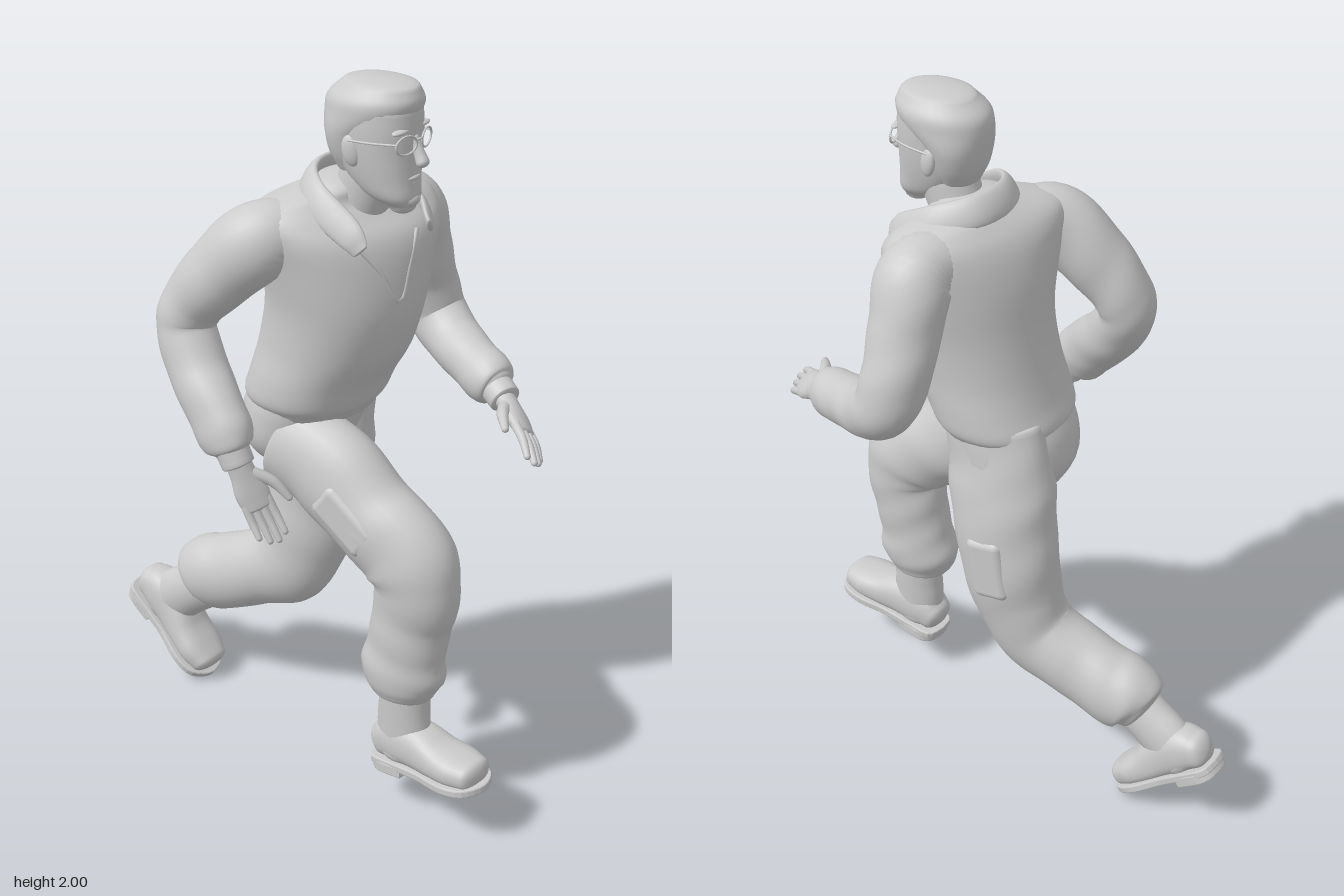
import * as THREE from 'three';
import { RoundedBoxGeometry } from 'three/addons/geometries/RoundedBoxGeometry.js';

const grey = new THREE.MeshStandardMaterial({ color: 0xcccccc, side: THREE.DoubleSide });
const V3 = (x, y, z) => new THREE.Vector3(x, y, z);

// Smooth skin through rings [x, y, z, a, b, twist]; b lies along ref, a across it.
function loft(name, rings, o = {}) {
  const { ref = V3(0, 0, 1), flat = false, seg = 28, steps = 6, cap = 0.6, power = 1, wrinkle = 0 } = o;
  const mid = new THREE.CatmullRomCurve3(rings.map(r => V3(r[0], r[1], r[2])), false, 'catmullrom');
  const rad = new THREE.CatmullRomCurve3(rings.map(r => V3(r[3], r[4], r[5] || 0)), false, 'catmullrom');
  const n = (rings.length - 1) * steps, list = [];
  for (let i = 0; i <= n; i++) {
    const t = i / n, T = flat ? V3(0, 1, 0) : mid.getTangent(t).normalize();
    const U = ref.clone().addScaledVector(T, -ref.dot(T)).normalize(), R = rad.getPoint(t);
    U.applyAxisAngle(T, -R.z);
    const f = { c: mid.getPoint(t), U, V: T.clone().cross(U), T, a: R.x, b: R.y, s: 1, t };
    if (i === 0) for (let k = 0; k < 5; k++) list.push(dome(f, k, -1, cap));
    list.push(f);
    if (i === n) for (let k = 4; k >= 0; k--) list.push(dome(f, k, 1, cap));
  }
  const pos = [], idx = [], pw = v => Math.sign(v) * Math.abs(v) ** power;
  list.forEach((f, i) => {
    for (let j = 0; j < seg; j++) {
      const q = j / seg * Math.PI * 2;
      const w = f.s * (1 + wrinkle * Math.sin(f.t * 38 + 1.6 * Math.sin(q + 1)) * Math.sin(f.t * 9 + q));
      const p = f.c.clone().addScaledVector(f.V, f.a * w * pw(Math.cos(q)))
        .addScaledVector(f.U, f.b * w * pw(Math.sin(q)));
      pos.push(p.x, p.y, p.z);
      if (i < list.length - 1) {
        const k = (j + 1) % seg, A = i * seg, B = A + seg;
        idx.push(A + j, B + j, A + k, B + j, B + k, A + k);
      }
    }
  });
  const g = new THREE.BufferGeometry();
  g.setAttribute('position', new THREE.Float32BufferAttribute(pos, 3));
  g.setIndex(idx);
  g.computeVertexNormals();
  return part(name, g);
}

// Rounded end: ring k of 5 shrinks towards the pole
function dome(f, k, dir, cap) {
  const q = (1 - k / 5) * Math.PI / 2;
  const c = f.c.clone().addScaledVector(f.T, dir * Math.sin(q) * cap * Math.min(f.a, f.b));
  return { ...f, c, s: Math.max(Math.cos(q), 0.001) };
}

function part(name, geometry, x = 0, y = 0, z = 0) {
  const m = new THREE.Mesh(geometry, grey);
  m.name = name;
  m.position.set(x, y, z);
  return m;
}

function group(name, ...children) {
  const g = new THREE.Group();
  g.name = name;
  return g.add(...children);
}

function tube(name, pts, r) {
  const c = new THREE.CatmullRomCurve3(pts.map(p => V3(...p)));
  return part(name, new THREE.TubeGeometry(c, 20, r, 8));
}

function ball(name, x, y, z, sx, sy, sz) {
  const m = part(name, new THREE.SphereGeometry(1, 20, 14), x, y, z);
  m.scale.set(sx, sy, sz);
  return m;
}

// Hand with four fingers and a thumb; across points to the thumb side
function hand(name, wrist, dir, across) {
  const d = V3(...dir).normalize(), w = V3(...across);
  w.addScaledVector(d, -w.dot(d)).normalize();
  const n = d.clone().cross(w);
  const at = (u, v, h, a, b) => {
    const p = V3(...wrist).addScaledVector(d, u).addScaledVector(w, v).addScaledVector(n, h);
    return [p.x, p.y, p.z, a, b];
  };
  const g = group(name, loft('palm', [at(-0.04, 0, 0, 0.03, 0.034), at(0.02, 0, 0, 0.026, 0.035),
    at(0.075, 0, 0, 0.023, 0.045), at(0.12, 0, 0.002, 0.017, 0.041)], { ref: w, seg: 18 }));
  [0.102, 0.115, 0.108, 0.088].forEach((len, i) => {
    const v = 0.031 - i * 0.0205, s = v * 0.1;
    g.add(loft('finger', [at(0.105, v, 0.001, 0.013, 0.012), at(0.105 + len * 0.5, v + s * 0.6, 0.004, 0.012, 0.0115),
      at(0.105 + len, v + s, 0.016, 0.009, 0.009)], { ref: w, seg: 10, steps: 4, cap: 1 }));
  });
  g.add(loft('thumb', [at(0.03, 0.02, 0.003, 0.018, 0.018), at(0.075, 0.06, 0.007, 0.016, 0.015),
    at(0.13, 0.08, 0.014, 0.01, 0.01)], { ref: w, seg: 10, steps: 4, cap: 1 }));
  return g;
}

// Boot in its own frame: toe along +x, sole on y = 0; lean tips the shaft forward
function boot(name, x, y, z, pitch, yaw, lean) {
  const outline = [[-0.08, 0], [-0.064, 0.05], [0.02, 0.057], [0.1, 0.061], [0.19, 0.076], [0.255, 0.061], [0.284, 0]];
  const pts = [...outline, ...outline.slice(1, -1).reverse().map(p => [p[0], -p[1]])];
  const sole = new THREE.Shape(new THREE.SplineCurve([...pts, pts[0]].map(p => new THREE.Vector2(...p))).getPoints(48));
  const heel = new THREE.Shape().moveTo(-0.075, 0).bezierCurveTo(-0.075, 0.07, -0.03, 0.057, 0.035, 0.057)
    .lineTo(0.035, -0.057).bezierCurveTo(-0.03, -0.057, -0.075, -0.07, -0.075, 0);
  const slab = (n, s, top, depth) => part(n, new THREE.ExtrudeGeometry(s, { depth, bevelSize: 0.004,
    bevelThickness: 0.004, bevelSegments: 2, curveSegments: 12 }).rotateX(Math.PI / 2), 0, top, 0);
  const up = (h, a, b) => [lean * h, h, 0, a, b];
  const g = group(name, slab('sole', sole, 0.038, 0.014), slab('heel', heel, 0.03, 0.024),
    loft('foot', [[-0.05, 0.08, 0, 0.05, 0.05], [0, 0.095, 0, 0.068, 0.059], [0.07, 0.092, 0, 0.066, 0.062],
      [0.14, 0.076, 0, 0.052, 0.068], [0.2, 0.068, 0, 0.044, 0.072], [0.25, 0.062, 0, 0.038, 0.06]], { power: 0.8 }),
    loft('shaft', [up(0.06, 0.075, 0.056), up(0.14, 0.08, 0.058), up(0.2, 0.076, 0.06), up(0.27, 0.074, 0.062)]));
  g.position.set(x, y, z);
  g.rotation.set(0, yaw, pitch, 'YZX');
  return g;
}

function head() {
  const g = group('head',
    loft('face', [[0.298, 1.688, 0.008, 0.034, 0.034], [0.27, 1.715, 0.008, 0.07, 0.062], [0.24, 1.76, 0.007, 0.096, 0.078],
      [0.222, 1.82, 0.005, 0.112, 0.09], [0.218, 1.88, 0.004, 0.117, 0.095], [0.215, 1.93, 0.003, 0.117, 0.095]],
    { flat: true, power: 0.9 }),
    loft('hair', [[0.17, 1.765, 0.004, 0.055, 0.062], [0.163, 1.81, 0.003, 0.068, 0.084], [0.168, 1.865, 0.002, 0.084, 0.099],
      [0.2, 1.915, 0.002, 0.121, 0.102], [0.213, 1.95, 0.002, 0.125, 0.098], [0.225, 1.982, 0.002, 0.102, 0.076]],
    { flat: true, power: 0.96, cap: 0.22 }),
    loft('neck', [[0.13, 1.57, 0, 0.08, 0.08], [0.165, 1.66, 0.002, 0.075, 0.068], [0.205, 1.76, 0.004, 0.08, 0.068]]),
    loft('nose', [[0.328, 1.865, 0.007, 0.012, 0.012], [0.343, 1.83, 0.007, 0.015, 0.013], [0.354, 1.808, 0.007, 0.017, 0.018]],
      { seg: 14, cap: 0.8 }),
    ball('upperLip', 0.328, 1.766, 0.008, 0.012, 0.007, 0.027),
    ball('lowerLip', 0.325, 1.752, 0.008, 0.012, 0.008, 0.024),
    ball('chin', 0.32, 1.708, 0.008, 0.024, 0.02, 0.032),
    tube('glassesBridge', [[0.341, 1.864, -0.008], [0.347, 1.867, 0.007], [0.341, 1.864, 0.022]], 0.003));
  for (const s of [-1, 1]) {
    const z = 0.007 + s * 0.043;
    const rim = part('glassesRim', new THREE.TorusGeometry(0.029, 0.003, 8, 24), 0.335, 1.857, z);
    rim.rotation.y = Math.PI / 2 - s * 0.25;
    rim.scale.set(1.15, 0.8, 1);
    const ear = ball('ear', 0.203, 1.83, 0.004 + s * 0.09, 0.023, 0.04, 0.013);
    ear.rotation.set(0, s * 0.3, 0.2);
    g.add(rim, ear, ball('brow', 0.318, 1.888, z, 0.014, 0.007, 0.034),
      tube('glassesTemple', [[0.327, 1.864, 0.007 + s * 0.075], [0.27, 1.862, 0.005 + s * 0.095], [0.2, 1.858, 0.004 + s * 0.1]], 0.003));
  }
  return g;
}

export function createModel() {
  const cloth = { wrinkle: 0.022, steps: 10 };
  const torso = group('torso',
    loft('jacket', [[0.03, 1.1, 0, 0.158, 0.18], [0.035, 1.13, 0, 0.176, 0.197], [0.058, 1.19, 0, 0.178, 0.2, 0.05],
      [0.095, 1.28, -0.002, 0.19, 0.197, 0.16], [0.122, 1.4, -0.004, 0.193, 0.205, 0.28], [0.127, 1.52, -0.006, 0.182, 0.23, 0.38],
      [0.125, 1.6, -0.006, 0.162, 0.252, 0.4], [0.112, 1.65, -0.004, 0.13, 0.255, 0.4], [0.108, 1.685, -0.002, 0.1, 0.21, 0.4],
      [0.12, 1.715, 0, 0.08, 0.1, 0.3]],
    { flat: true, power: 0.9, seg: 40, cap: 0.3 }),
    loft('collar', [[0.275, 1.605, 0.152, 0.008, 0.024, -0.3], [0.235, 1.643, 0.15, 0.013, 0.038, -0.5],
      [0.13, 1.7, 0.136, 0.015, 0.042, -0.5], [0.065, 1.725, 0.08, 0.015, 0.042, -0.5], [0.045, 1.732, 0, 0.015, 0.042, -0.5],
      [0.075, 1.726, -0.085, 0.015, 0.042, -0.5], [0.17, 1.695, -0.138, 0.015, 0.042, -0.5],
      [0.275, 1.645, -0.12, 0.013, 0.038, -0.5], [0.322, 1.61, -0.082, 0.008, 0.024, -0.3]],
    { ref: V3(0, 1, 0), seg: 16 }),
    tube('frontOpening', [[0.242, 1.6, 0.125], [0.285, 1.53, 0.08], [0.311, 1.44, 0.03], [0.312, 1.53, -0.01], [0.305, 1.61, -0.05]], 0.006));

  const trousers = group('trousers',
    loft('hips', [[0.03, 1.15, 0, 0.155, 0.18], [0.005, 1.08, 0, 0.16, 0.188], [-0.015, 1.0, -0.003, 0.147, 0.185],
      [-0.01, 0.94, -0.005, 0.125, 0.15], [0, 0.89, -0.005, 0.09, 0.08]], { flat: true, seg: 36, cap: 0.5 }),
    loft('frontLeg', [[0.02, 1.0, 0.095, 0.13, 0.1], [0.155, 0.95, 0.1, 0.14, 0.106], [0.293, 0.855, 0.104, 0.13, 0.108],
      [0.4, 0.782, 0.106, 0.134, 0.106], [0.437, 0.7, 0.106, 0.122, 0.1], [0.425, 0.6, 0.105, 0.112, 0.092],
      [0.41, 0.5, 0.107, 0.113, 0.09], [0.402, 0.42, 0.109, 0.12, 0.09], [0.402, 0.365, 0.11, 0.09, 0.074]], { ...cloth, cap: 0.2 }),
    loft('rearLeg', [[0.015, 1.13, -0.09, 0.14, 0.09], [-0.01, 1.0, -0.095, 0.153, 0.102], [-0.025, 0.88, -0.105, 0.152, 0.112],
      [-0.045, 0.74, -0.112, 0.145, 0.115], [-0.07, 0.6, -0.105, 0.132, 0.108], [-0.125, 0.485, -0.094, 0.125, 0.1],
      [-0.235, 0.425, -0.082, 0.113, 0.098], [-0.34, 0.378, -0.074, 0.114, 0.1], [-0.42, 0.35, -0.07, 0.108, 0.095],
      [-0.452, 0.33, -0.07, 0.08, 0.07]], { ...cloth, cap: 0.2 }));
  // Thigh pockets, mostly sunk into the cloth
  const pocket = (x, y, z, turn) => {
    const m = part('thighPocket', new RoundedBoxGeometry(0.11, 0.19, 0.05, 5, 0.024), x, y, z);
    m.rotation.z = turn;
    return m;
  };
  trousers.add(pocket(0.265, 0.87, 0.188, 0.95), pocket(-0.04, 0.74, -0.204, -0.15));

  // Arm swung back on the +z side
  const backArm = group('backArm',
    loft('sleeve', [[0.085, 1.6, 0.1, 0.075, 0.075], [0.015, 1.592, 0.205, 0.1, 0.09], [-0.09, 1.488, 0.248, 0.096, 0.09],
      [-0.162, 1.395, 0.268, 0.08, 0.084], [-0.172, 1.325, 0.28, 0.076, 0.082], [-0.115, 1.235, 0.305, 0.079, 0.078],
      [-0.035, 1.15, 0.335, 0.082, 0.07], [0.015, 1.09, 0.35, 0.076, 0.062], [0.028, 1.07, 0.352, 0.05, 0.046]], { ...cloth, cap: 0.3 }),
    loft('cuff', [[0.022, 1.08, 0.352, 0.045, 0.045], [0.046, 1.035, 0.352, 0.044, 0.043]], { cap: 0.2 }),
    hand('hand', [0.048, 1.03, 0.35], [0.4, -0.9, -0.12], [0.55, 0.3, -0.75]));

  // Arm swung forward on the -z side
  const forwardArm = group('forwardArm',
    loft('sleeve', [[0.12, 1.6, -0.1, 0.08, 0.08], [0.155, 1.592, -0.215, 0.1, 0.092], [0.157, 1.47, -0.272, 0.098, 0.088],
      [0.16, 1.35, -0.315, 0.09, 0.085], [0.19, 1.255, -0.333, 0.085, 0.08], [0.265, 1.205, -0.305, 0.076, 0.075],
      [0.36, 1.175, -0.262, 0.072, 0.07], [0.435, 1.155, -0.23, 0.07, 0.064], [0.458, 1.148, -0.222, 0.048, 0.046]], { ...cloth, cap: 0.3 }),
    loft('cuff', [[0.445, 1.15, -0.225, 0.045, 0.045], [0.49, 1.13, -0.205, 0.043, 0.043]], { cap: 0.2 }),
    hand('hand', [0.492, 1.128, -0.204], [0.78, -0.34, 0.47], [-0.15, 0.55, 0.75]));

  return group('runningMan', head(), torso, trousers, backArm, forwardArm,
    boot('frontBoot', 0.412, 0.115, 0.112, 0.13, -0.1, 0.13), boot('rearBoot', -0.637, 0.16, -0.062, -0.65, -0.06, 0.32));
}
